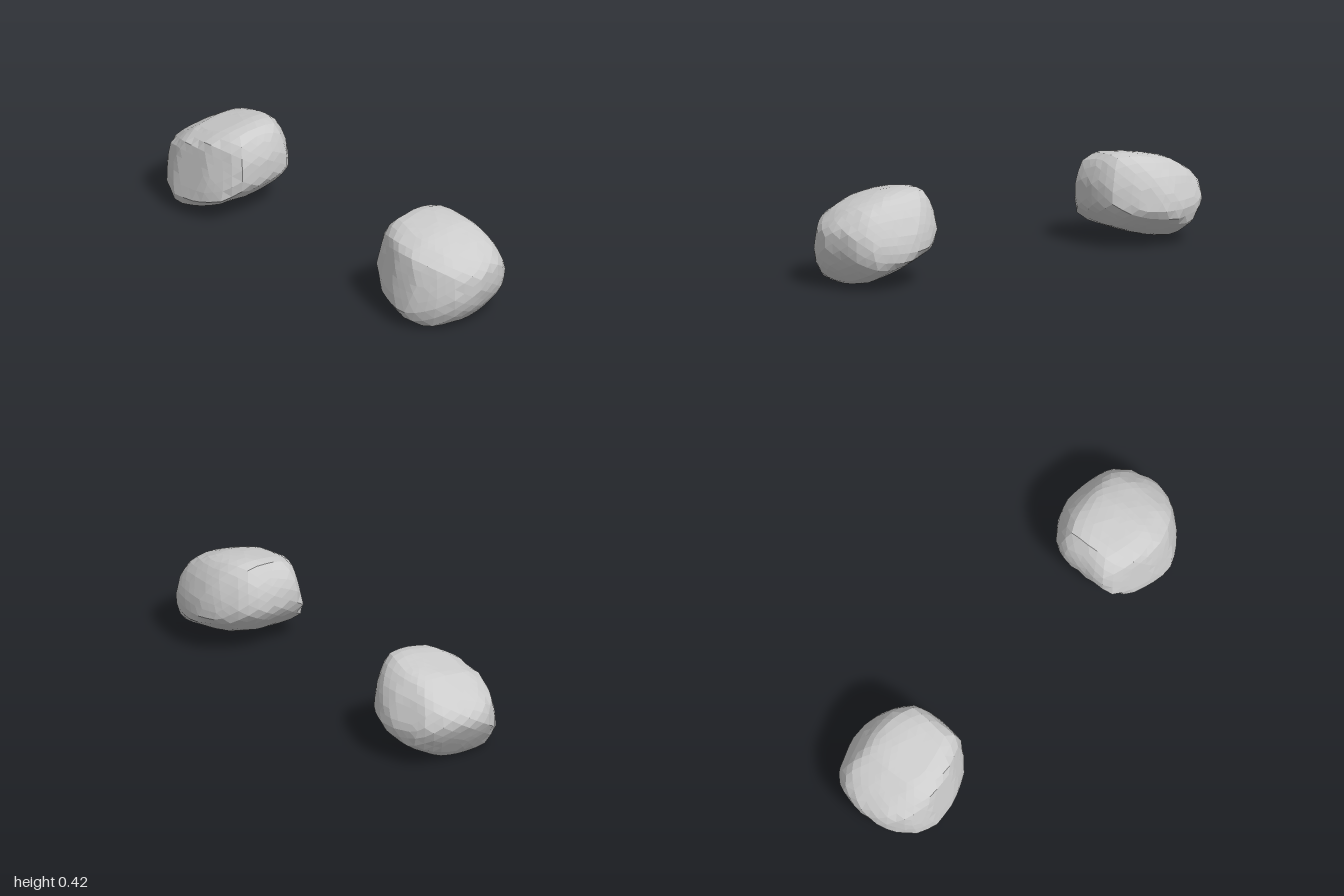
import * as THREE from 'three';

// Outlines of the stones: front (x, y), then side (z, y) and plan (x, z) of each stone
const FRONT = [[-0.26, 0.08], [-0.24, 0.03], [-0.2, 0.01], [-0.05, 0], [0.08, 0.02], [0.18, 0.07], [0.245, 0.11], [0.26, 0.16],
  [0.25, 0.24], [0.21, 0.33], [0.15, 0.4], [0.1, 0.417], [0.03, 0.42], [-0.11, 0.397], [-0.2, 0.345], [-0.215, 0.3]];
const STONES = [
  {
    name: 'frontStone', z: 0.73,
    side: [[1, 0.25], [0.98, 0.28], [0.9, 0.35], [0.77, 0.4], [0.6, 0.42], [0.54, 0.41], [0.49, 0.34], [0.47, 0.28],
      [0.47, 0.21], [0.5, 0.16], [0.58, 0.08], [0.7, 0.03], [0.83, 0], [0.9, 0.01], [0.97, 0.09], [1, 0.18]],
    plan: [[-0.1, 0.467], [0.08, 0.467], [0.16, 0.5], [0.23, 0.6], [0.26, 0.7], [0.25, 0.8], [0.22, 0.9], [0.15, 0.96],
      [0, 1], [-0.12, 0.97], [-0.2, 0.9], [-0.26, 0.8], [-0.26, 0.7], [-0.22, 0.57], [-0.18, 0.49]],
  },
  {
    name: 'backStone', z: -0.73,
    side: [[-1, 0.2], [-0.985, 0.25], [-0.92, 0.31], [-0.8, 0.38], [-0.6, 0.42], [-0.53, 0.41], [-0.49, 0.37], [-0.46, 0.28],
      [-0.465, 0.17], [-0.56, 0.08], [-0.7, 0.03], [-0.84, 0], [-0.88, 0.015], [-0.95, 0.11]],
    plan: [[0, -1], [0.12, -0.98], [0.2, -0.92], [0.255, -0.77], [0.255, -0.68], [0.21, -0.57], [0.13, -0.48], [0, -0.462],
      [-0.15, -0.475], [-0.2, -0.53], [-0.25, -0.65], [-0.26, -0.8], [-0.22, -0.9], [-0.12, -0.98]],
  },
];

// How far an outline reaches in direction (a, b), measured from centre (ca, cb)
const reach = (outline, ca, cb, a, b) => Math.max(...outline.map(([p, q]) => (p - ca) * a + (q - cb) * b));

// Evenly spread unit directions, plus rings in the three main planes
function directions() {
  const list = [];
  const count = 1200;
  for (let i = 0; i < count; i++) {
    const y = 1 - (2 * i + 1) / count;
    const r = Math.sqrt(1 - y * y);
    const t = i * Math.PI * (3 - Math.sqrt(5));
    list.push(new THREE.Vector3(r * Math.cos(t), y, r * Math.sin(t)));
  }
  for (let i = 0; i < 72; i++) {
    const c = Math.cos(i * Math.PI / 36);
    const s = Math.sin(i * Math.PI / 36);
    list.push(new THREE.Vector3(c, s, 0), new THREE.Vector3(0, c, s), new THREE.Vector3(s, 0, c));
  }
  return list;
}

// Convex stone: many cutting planes, their distances blended from the three outlines
function stoneGeometry({ side, plan, z }) {
  const centre = new THREE.Vector3(0, 0.21, z);
  const planes = directions().map((n) => {
    const xy = reach(FRONT, 0, centre.y, n.x, n.y);
    const zy = reach(side, z, centre.y, n.z, n.y);
    const xz = reach(plan, 0, z, n.x, n.z);
    const ax = reach(FRONT, 0, centre.y, n.x, 0);
    const ay = reach(FRONT, 0, centre.y, 0, n.y);
    const az = reach(side, z, centre.y, n.z, 0);
    const h2 = xy * xy + zy * zy + xz * xz - ax * ax - ay * ay - az * az;
    return { n, h: Math.sqrt(Math.max(h2, 0.01)) };
  });

  // Shrink a faceted ball onto the planes
  const geometry = new THREE.IcosahedronGeometry(1, 6);
  const pos = geometry.attributes.position;
  const d = new THREE.Vector3();
  for (let i = 0; i < pos.count; i++) {
    d.fromBufferAttribute(pos, i).normalize();
    let radius = Infinity;
    for (const { n, h } of planes) {
      const dot = n.dot(d);
      if (dot > 0.05) radius = Math.min(radius, h / dot);
    }
    d.multiplyScalar(radius).add(centre);
    pos.setXYZ(i, d.x, d.y, d.z);
  }
  geometry.computeVertexNormals();
  return geometry;
}

export function createModel() {
  const group = new THREE.Group();
  group.name = 'stonePair';
  const material = new THREE.MeshStandardMaterial({ color: 0xcccccc, flatShading: true });
  for (const stone of STONES) {
    const mesh = new THREE.Mesh(stoneGeometry(stone), material);
    mesh.name = stone.name;
    group.add(mesh);
  }
  return group;
}
